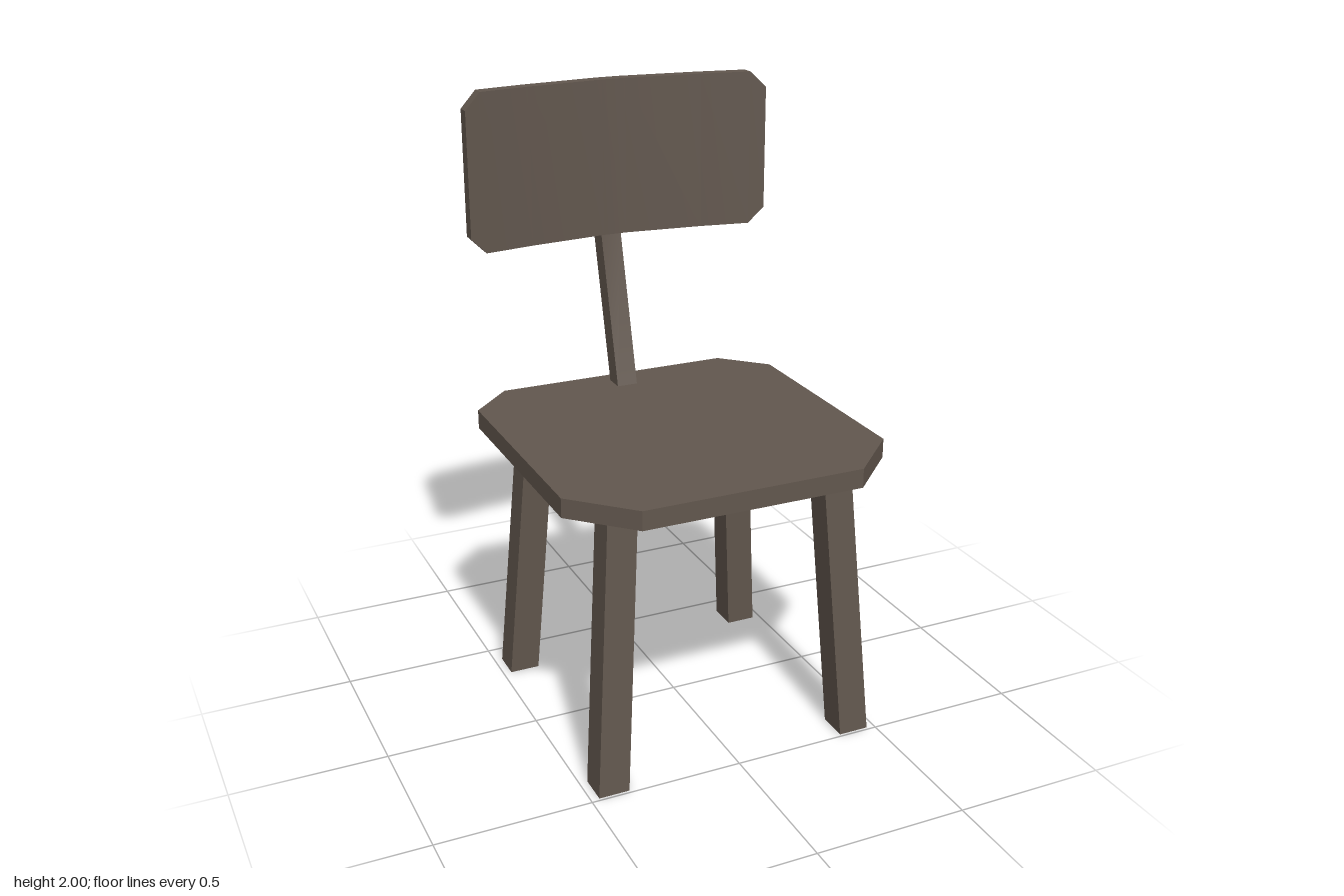
import * as THREE from 'three';
import { toCreasedNormals } from 'three/addons/utils/BufferGeometryUtils.js';

// Skin a row of four-cornered cross-sections, with optional end caps
function loft(sections, capStart, capEnd) {
  const positions = sections.flat(2);
  const index = [];
  const quad = (a, b, c, d) => index.push(a, b, c, a, c, d);
  for (let i = 0; i < sections.length - 1; i++) {
    for (let j = 0; j < 4; j++) {
      const k = (j + 1) % 4;
      quad(i * 4 + j, i * 4 + k, i * 4 + 4 + k, i * 4 + 4 + j);
    }
  }
  const e = (sections.length - 1) * 4;
  if (capStart) quad(3, 2, 1, 0);
  if (capEnd) quad(e, e + 1, e + 2, e + 3);
  const g = new THREE.BufferGeometry();
  g.setAttribute('position', new THREE.Float32BufferAttribute(positions, 3));
  g.setIndex(index);
  return toCreasedNormals(g, 0.4);
}

// Horizontal rectangle at height y, centred on x and z
const slice = (y, x, z, w, d) => [
  [x - w / 2, y, z + d / 2],
  [x + w / 2, y, z + d / 2],
  [x + w / 2, y, z - d / 2],
  [x - w / 2, y, z - d / 2],
];

export function createModel() {
  const model = new THREE.Group();
  model.name = 'chair';
  const wood = new THREE.MeshStandardMaterial({ color: 0x62574e, side: THREE.DoubleSide });
  wood.name = 'dark brown wood';

  const add = (name, geometry) => {
    const mesh = new THREE.Mesh(geometry, wood);
    mesh.name = name;
    model.add(mesh);
    return mesh;
  };

  // Seat: slab with clipped corners, larger at the front
  const half = [[0.36, 0.577], [0.537, 0.4], [0.537, -0.36], [0.4, -0.497]];
  const outline = [...half, ...half.map(([x, z]) => [-x, z]).reverse()];
  const shape = new THREE.Shape(outline.map(([x, z]) => new THREE.Vector2(x, -z)));
  const seat = new THREE.ExtrudeGeometry(shape, { depth: 0.062, bevelEnabled: false });
  seat.rotateX(-Math.PI / 2);
  seat.translate(0, 0.918, 0);
  add('seat', seat);

  // Four splayed legs, hollow at the foot
  for (const [side, s] of [['Left', 1], ['Right', -1]]) {
    for (const [end, zFoot, zTop] of [['front', 0.44, 0.382], ['back', -0.377, -0.315]]) {
      add(end + side + 'Leg', loft([
        slice(0, s * 0.423, zFoot, 0.1, 0.1),
        slice(0.918, s * 0.358, zTop, 0.096, 0.096),
      ], false, false));
    }
  }

  // Bent post holding the backrest
  add('backPost', loft([
    slice(0.978, 0, -0.411, 0.07, 0.068),
    slice(1.49, 0, -0.541, 0.07, 0.068),
    slice(1.842, 0, -0.541, 0.07, 0.068),
  ], true, true));

  // Curved backrest with clipped corners: [x, front z, corner clip]
  const right = [[0.04, -0.466, 0], [0.3, -0.438, 0], [0.467, -0.41, 0], [0.52, -0.399, 0.053]];
  const columns = [...right.map(([x, z, c]) => [-x, z, c]).reverse(), ...right];
  add('backrest', loft(columns.map(([x, z, c]) => [
    [x, 1.488 + c, z],
    [x, 1.488 + c, z - 0.045],
    [x, 2 - c, z - 0.045],
    [x, 2 - c, z],
  ]), true, true));

  return model;
}
